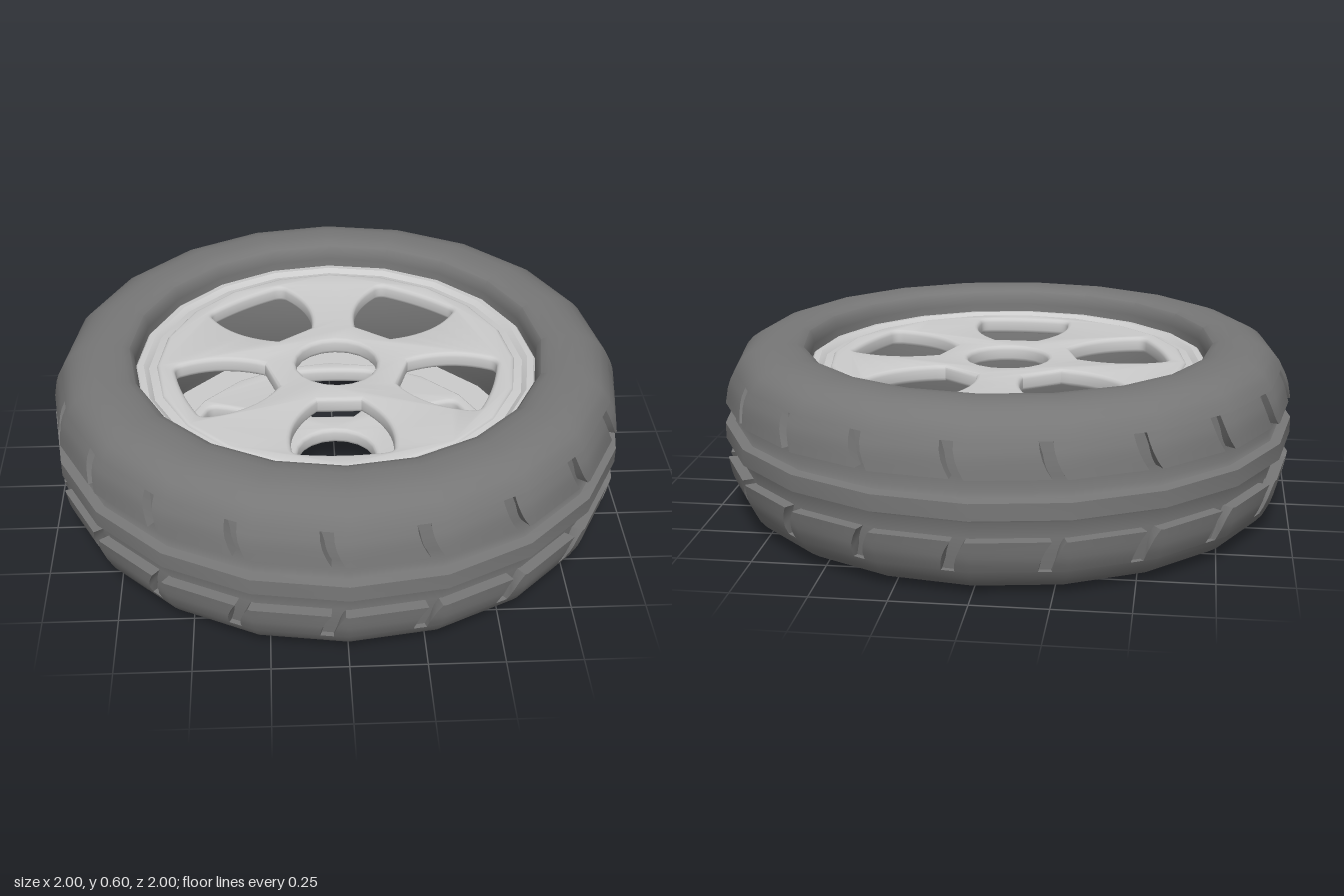
import * as THREE from 'three';
import { mergeGeometries, toCreasedNormals } from 'three/addons/utils/BufferGeometryUtils.js';

const SIDES = 20;
const STEP = (Math.PI * 2) / SIDES;
const MID = 0.3; // height of the tyre's mirror plane
const DEG = Math.PI / 180;

const rubber = new THREE.MeshStandardMaterial({ color: 0x777777 });
const metal = new THREE.MeshStandardMaterial({ color: 0xcccccc });

// Sharp edges kept; scaled up while creasing so small bevels stay distinct
function crease(geometry, angle = 0.6) {
  geometry.scale(10, 10, 10);
  const out = toCreasedNormals(geometry, angle);
  out.scale(0.1, 0.1, 0.1);
  return out;
}

// Faceted ring turned from a closed [radius, height] section
function ring(section) {
  const points = section.map(([r, y]) => new THREE.Vector2(r, y));
  return crease(new THREE.LatheGeometry(points, SIDES));
}

function addMesh(parent, name, geometry, material) {
  const mesh = new THREE.Mesh(geometry, material);
  mesh.name = name;
  parent.add(mesh);
}

// One shoulder tread block between two hooked slits
function treadBlock(index, side) {
  const section = [[0.996, 0.4], [0.991, 0.427], [0.986, 0.455], [0.977, 0.482], [0.963, 0.51], [0.9, 0.51], [0.93, 0.4]];
  const n = section.length;
  const positions = [];
  const faces = [];
  for (let i = 0; i < 3; i++) {
    for (const [r, y] of section) {
      const t = (y - 0.4) / 0.11;
      const slit = -2 - 2.2 * (1 - (1 - t) ** 2);
      const local = [slit + 1.3, 0, slit + 16.7][i] * DEG;
      const inFacet = ((local + STEP) % STEP) - STEP / 2;
      const radius = (r * Math.cos(STEP / 2)) / Math.cos(inFacet);
      const phi = local + index * STEP;
      positions.push(radius * Math.sin(phi), MID + side * (y - MID), radius * Math.cos(phi));
    }
  }
  const tri = (a, b, c) => faces.push(...(side > 0 ? [a, b, c] : [a, c, b]));
  for (let i = 0; i < 2; i++) {
    for (let j = 0; j < n; j++) {
      const a = i * n + j;
      const b = i * n + ((j + 1) % n);
      tri(a, a + n, b + n);
      tri(a, b + n, b);
    }
  }
  // End caps fan out from the inner base corner
  for (let j = 0; j < n - 2; j++) {
    tri(n - 1, j, j + 1);
    tri(3 * n - 1, 2 * n + j + 1, 2 * n + j);
  }
  const indexed = new THREE.BufferGeometry();
  indexed.setAttribute('position', new THREE.Float32BufferAttribute(positions, 3));
  indexed.setIndex(faces);
  const block = crease(indexed);

  // Outer faces shade as one continuous round surface
  const p = block.attributes.position;
  const normal = block.attributes.normal;
  for (let i = 0; i < p.count; i++) {
    const length = Math.hypot(p.getX(i), p.getZ(i));
    const x = p.getX(i) / length;
    const z = p.getZ(i) / length;
    if (normal.getX(i) * x + normal.getZ(i) * z < 0.75) continue;
    const ny = normal.getY(i);
    const flat = Math.sqrt(1 - ny * ny);
    normal.setXYZ(i, x * flat, ny, z * flat);
  }
  return block;
}

// Fan-shaped window with bowed sides, pointing along the given angle
function windowPath(angle) {
  const at = (u, v) => new THREE.Vector2(u, v).rotateAround(new THREE.Vector2(), angle - Math.PI / 2);
  const path = new THREE.Path();
  const curve = (cu, cv, u, v) => {
    const c = at(cu, cv);
    const e = at(u, v);
    path.quadraticCurveTo(c.x, c.y, e.x, e.y);
  };
  const start = at(-0.075, 0.24);
  const inner = at(0.075, 0.24);
  path.moveTo(start.x, start.y);
  path.lineTo(inner.x, inner.y);
  curve(0.187, 0.36, 0.167, 0.515);
  curve(0.165, 0.543, 0.135, 0.548);
  curve(0, 0.568, -0.135, 0.548);
  curve(-0.165, 0.543, -0.167, 0.515);
  curve(-0.187, 0.36, -0.075, 0.24);
  return path;
}

// Wheel plate with hub hole and five windows, top surface at the given height
function wheelPlate(top, firstAngle) {
  const outline = [];
  for (let i = 0; i < SIDES; i++) {
    outline.push(new THREE.Vector2(0.632 * Math.cos(i * STEP), 0.632 * Math.sin(i * STEP)));
  }
  const shape = new THREE.Shape(outline);
  shape.holes.push(new THREE.Path().absarc(0, 0, 0.143, 0, Math.PI * 2, true));
  for (let i = 0; i < 5; i++) shape.holes.push(windowPath(firstAngle + i * 72 * DEG));
  const bevel = 0.016;
  const geometry = new THREE.ExtrudeGeometry(shape, {
    depth: 0.028, bevelThickness: bevel, bevelSize: bevel, bevelOffset: -bevel, bevelSegments: 3, curveSegments: 10,
  });
  geometry.rotateX(Math.PI / 2);
  geometry.translate(0, top - bevel, 0);
  return crease(geometry);
}

// Stepped lip between plate and tyre, facing up (side 1) or down (side -1)
function rimLip(face, side) {
  const section = [
    [0.706, -0.06], [0.706, -0.01], [0.698, -0.002], [0.676, 0], [0.667, -0.006],
    [0.658, -0.014], [0.614, -0.005], [0.605, -0.03], [0.605, -0.06], [0.706, -0.06],
  ].map(([r, y]) => [r, face + side * y]);
  return ring(side > 0 ? section : section.reverse());
}

export function createModel() {
  const wheel = new THREE.Group();
  wheel.name = 'wheel';

  // Tyre carcass with centre rib, two grooves and lowered shoulder bands
  const tyre = new THREE.Group();
  tyre.name = 'tyre';
  wheel.add(tyre);
  const upper = [
    [1, 0.3], [1, 0.328], [0.966, 0.334], [0.957, 0.35], [0.957, 0.4], [0.954, 0.45], [0.944, 0.51],
    [0.963, 0.51], [0.95, 0.535], [0.928, 0.56], [0.898, 0.58], [0.865, 0.593], [0.83, 0.6],
    [0.78, 0.6], [0.745, 0.597], [0.72, 0.586], [0.708, 0.567], [0.704, 0.54], [0.704, 0.47], [0.69, 0.44], [0.69, 0.3],
  ];
  const lower = upper.slice(1).reverse().map(([r, y]) => [r, 2 * MID - y]);
  addMesh(tyre, 'tyreBody', ring([...lower, ...upper]), rubber);

  // Shoulder blocks, mirrored above and below the centre rib
  for (const [name, side] of [['upperTread', 1], ['lowerTread', -1]]) {
    const blocks = [];
    for (let i = 0; i < SIDES; i++) blocks.push(treadBlock(i, side));
    addMesh(tyre, name, mergeGeometries(blocks), rubber);
  }

  // Two plates with lips, the lower plate turned half a window pitch
  const rim = new THREE.Group();
  rim.name = 'rim';
  wheel.add(rim);
  addMesh(rim, 'upperLip', rimLip(0.515, 1), metal);
  addMesh(rim, 'lowerLip', rimLip(0.062, -1), metal);
  addMesh(rim, 'upperPlate', wheelPlate(0.515, 90 * DEG), metal);
  addMesh(rim, 'lowerPlate', wheelPlate(0.12, 54 * DEG), metal);

  return wheel;
}
